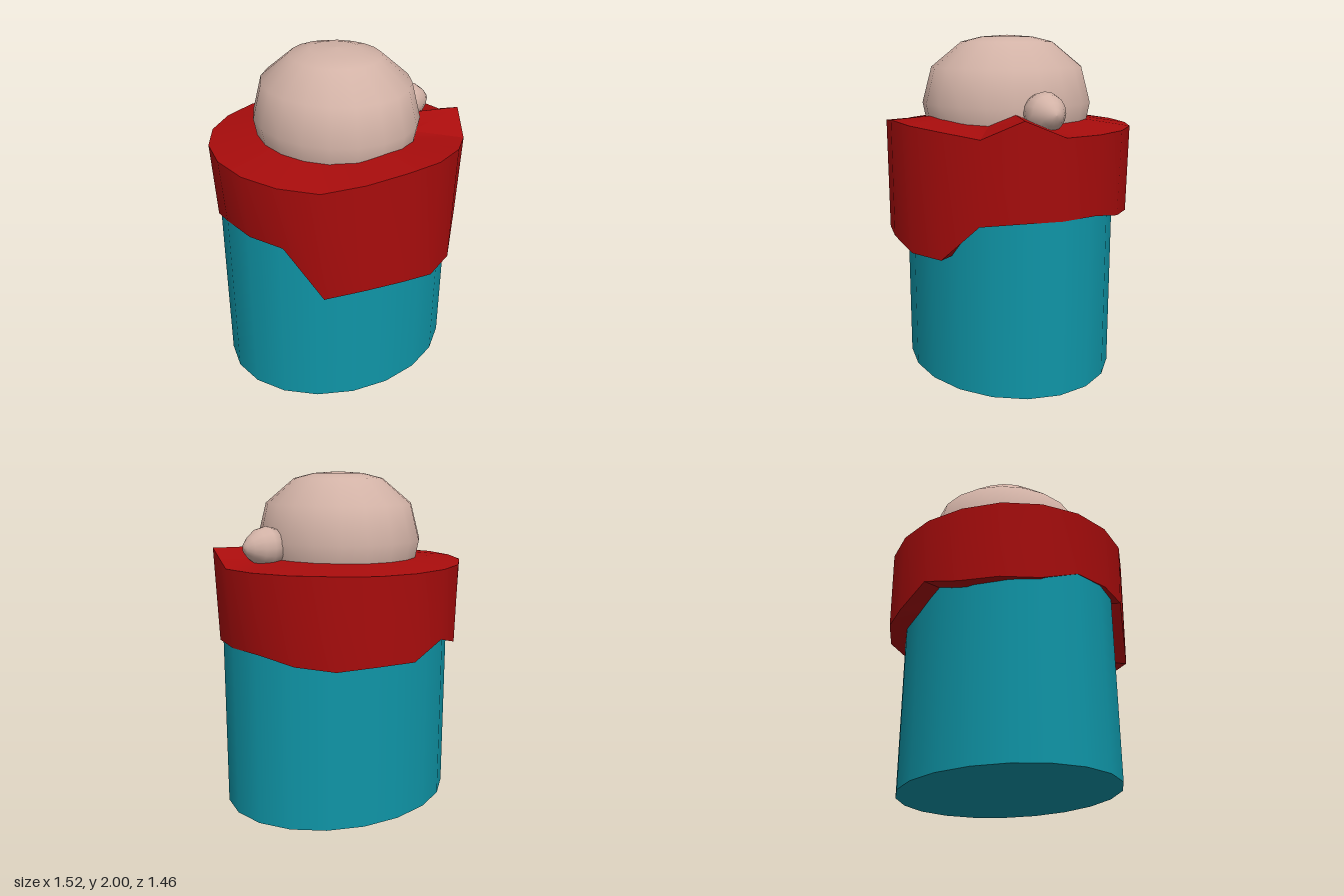
import * as THREE from 'three';
import { toCreasedNormals } from 'three/addons/utils/BufferGeometryUtils.js';

const SIDES = 20;
const skin = new THREE.MeshStandardMaterial({ color: 0xd2b2a6 });
const red = new THREE.MeshStandardMaterial({ color: 0xa80c0c });
const teal = new THREE.MeshStandardMaterial({ color: 0x0f95a7 });

function part(name, geometry, material) {
  const mesh = new THREE.Mesh(geometry, material);
  mesh.name = name;
  return mesh;
}

function lathe(profile, sides = SIDES) {
  return new THREE.LatheGeometry(profile.map(([r, y]) => new THREE.Vector2(r, y)), sides);
}

// Uneven rim heights every 18 degrees, from the front round past +x
const RIM_TOP = [1.525, 1.515, 1.5, 1.47, 1.57, 1.475, 1.475, 1.475, 1.475, 1.47,
  1.47, 1.47, 1.47, 1.475, 1.475, 1.475, 1.47, 1.465, 1.46, 1.5];
const RIM_BOTTOM = [0.84, 0.79, 0.79, 1.0, 1.02, 1.02, 1.02, 0.98, 0.96, 0.98,
  0.98, 1.07, 1.01, 1.01, 1.015, 1.09, 1.09, 1.09, 0.79, 0.84];

// Thick ring: closed cross-section, rim heights set per segment
function collarGeometry() {
  const section = [
    { x: 0.58, z: 0.54 }, { x: 0.732, z: 0.73 }, { x: 0.76, z: 0.73 }, { x: 0.44, z: 0.46 }, { x: 0.58, z: 0.54 },
  ];
  const geometry = lathe(section.map(() => [1, 0]));
  const pos = geometry.attributes.position;
  for (let i = 0; i <= SIDES; i++) {
    const a = (i / SIDES) * Math.PI * 2, k = i % SIDES;
    const top = RIM_TOP[k], bottom = RIM_BOTTOM[k];
    const inner = Math.max(1.51, Math.min(top + 0.015, 1.57));
    const heights = [bottom + 0.01, bottom, top, inner, bottom + 0.01];
    section.forEach((s, j) =>
      pos.setXYZ(i * section.length + j, Math.sin(a) * s.x, heights[j], Math.cos(a) * s.z));
  }
  return toCreasedNormals(geometry, 0.4);
}

export function createModel() {
  const group = new THREE.Group();
  group.name = 'figure';

  // Oval body, its top hidden inside the collar
  const body = new THREE.CylinderGeometry(1, 1, 1.3, SIDES);
  body.scale(0.73, 1, 0.61);
  body.translate(0, 0.65, 0);
  group.add(part('body', body, teal));

  group.add(part('collar', collarGeometry(), red));

  // Rounded head with a flattened crown
  const head = lathe([[0, 1.25], [0.8, 1.3], [0.94, 1.45], [1, 1.605], [0.89, 1.815],
    [0.54, 1.96], [0.3, 1.99], [0, 2]]);
  head.scale(0.48, 1, 0.515);
  head.translate(-0.007, 0, 0);
  group.add(part('head', head, skin));

  // Single blunt ear, pointing out along +x
  const ear = lathe([[0, 0.38], [0.1, 0.42], [0.118, 0.5], [0.104, 0.555], [0.066, 0.605],
    [0.03, 0.637], [0, 0.642]], 16);
  ear.rotateZ(-Math.PI / 2);
  ear.translate(0, 1.58, 0);
  group.add(part('ear', ear, skin));

  return group;
}
